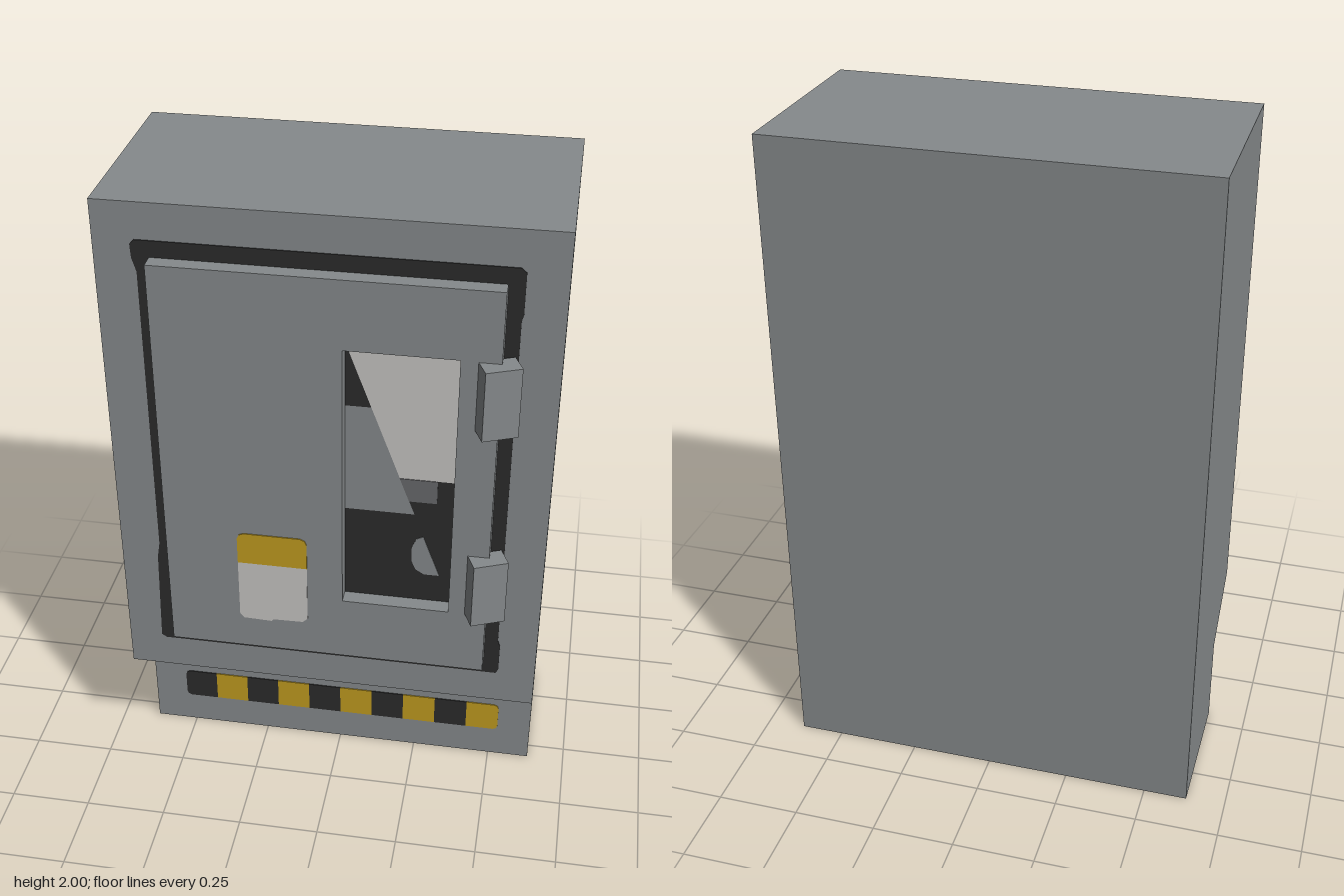
import * as THREE from 'three';

const mat = (name, color) => {
  const m = new THREE.MeshStandardMaterial({ color, flatShading: true });
  m.name = name;
  return m;
};

const polygon = (pts) => new THREE.Shape(pts.map(([x, y]) => new THREE.Vector2(x, y)));
const rect = (x0, y0, x1, y1) => [[x0, y0], [x1, y0], [x1, y1], [x0, y1]];

// Rectangle with chosen corners cut: [bottom left, bottom right, top right, top left]
function cutRect(x0, y0, x1, y1, [bl, br, tr, tl], c = 0.015) {
  const pts = [];
  if (bl) pts.push([x0, y0 + c], [x0 + c * 0.3, y0 + c * 0.3], [x0 + c, y0]); else pts.push([x0, y0]);
  if (br) pts.push([x1 - c, y0], [x1 - c * 0.3, y0 + c * 0.3], [x1, y0 + c]); else pts.push([x1, y0]);
  if (tr) pts.push([x1, y1 - c], [x1 - c * 0.3, y1 - c * 0.3], [x1 - c, y1]); else pts.push([x1, y1]);
  if (tl) pts.push([x0 + c, y1], [x0 + c * 0.3, y1 - c * 0.3], [x0, y1 - c]); else pts.push([x0, y1]);
  return pts;
}

export function createModel() {
  const model = new THREE.Group();
  model.name = 'electricalCabinet';

  const grey = mat('cabinet grey', 0x868a8c);
  const midGrey = mat('shaded grey', 0x68696b);
  const dark = mat('black paint', 0x2c2c2c);
  const yellow = mat('warning yellow', 0xbf9b20);
  const light = mat('pale grey', 0xc6c4c2);

  const FRONT = 0.262, DOOR = 0.312, BASE = 0.053;

  const add = (name, geometry, material, parent = model) => {
    const mesh = new THREE.Mesh(geometry, material);
    mesh.name = name;
    parent.add(mesh);
    return mesh;
  };
  // Flat-sided piece extruded forward from z, with an optional hole
  const plate = (name, pts, z, material, parent = model, depth = 0.003, hole = null) => {
    const shape = polygon(pts);
    if (hole) shape.holes.push(new THREE.Path(hole.map(([x, y]) => new THREE.Vector2(x, y))));
    const geo = new THREE.ExtrudeGeometry(shape, { depth, bevelEnabled: false });
    return add(name, geo, material, parent).position.set(0, 0, z);
  };

  // Body: side profile extruded across the width, toe recessed under a sloped lip
  const profile = polygon([[-0.37, 0], [BASE, 0], [BASE, 0.277], [FRONT, 0.425], [FRONT, 2], [-0.37, 2]]);
  const bodyGeo = new THREE.ExtrudeGeometry(profile, { depth: 1.264, bevelEnabled: false });
  bodyGeo.translate(0, 0, -0.632);
  bodyGeo.rotateY(-Math.PI / 2);
  bodyGeo.scale(1, 1, 1);
  add('body', bodyGeo, grey);

  // Dark seal around the door, with slightly uneven outer edges
  plate('doorSeal', [
    [-0.53, 0.545], [-0.515, 0.535], [0.515, 0.535], [0.522, 0.55], [0.522, 0.64], [0.515, 0.66],
    [0.515, 1.74], [0.52, 1.76], [0.52, 1.88], [0.505, 1.893], [-0.515, 1.893], [-0.528, 1.88],
    [-0.526, 1.84], [-0.514, 1.8], [-0.514, 0.9], [-0.522, 0.85],
  ], FRONT, dark, model, 0.003, rect(-0.47, 0.585, 0.47, 1.84));

  // Door with a window opening
  const win = { x0: 0.05, y0: 0.79, x1: 0.365, y1: 1.637 };
  plate('door', rect(-0.477, 0.58, 0.475, 1.845), FRONT, grey, model, DOOR - FRONT,
    rect(win.x0, win.y0, win.x1, win.y1));

  // Window picture, split along the diagonal
  const view = new THREE.Group();
  view.name = 'windowPanel';
  model.add(view);
  const diag = (y) => [win.x0 + (win.x1 - win.x0) * (win.y1 - y) / (win.y1 - win.y0), y];
  const leftBand = (y0, y1) => [[win.x0, y0], diag(y0), diag(y1), [win.x0, y1]];
  const rightBand = (y0, y1) => [diag(y0), [win.x1, y0], [win.x1, y1], diag(y1)];
  plate('windowLeftTop', leftBand(1.44, win.y1 - 0.001), FRONT, dark, view);
  plate('windowLeftMiddle', leftBand(1.095, 1.44), FRONT, grey, view);
  plate('windowLeftBottom', leftBand(win.y0, 1.095), FRONT, dark, view);
  plate('windowRightTop', rightBand(1.215, win.y1), FRONT, light, view);
  plate('windowRightBottom', rightBand(win.y0 + 0.001, 1.215), FRONT, dark, view);
  plate('windowBracket', [diag(1.14), [0.315, 1.14], [0.315, 1.215], diag(1.215)], FRONT + 0.002, midGrey, view);
  plate('windowKnob', [
    diag(0.885), diag(1.02), [0.26, 1.01], [0.247, 0.98], [0.247, 0.93], [0.26, 0.9], [0.285, 0.885],
  ].reverse(), FRONT + 0.002, grey, view);

  // Warning label on the door
  plate('labelHeader', cutRect(-0.262, 0.897, -0.055, 1.003, [0, 0, 1, 1], 0.02), DOOR, yellow);
  plate('labelBody', [
    [-0.262, 0.897], [-0.262, 0.705], [-0.25, 0.69], [-0.165, 0.687], [-0.16, 0.694],
    [-0.07, 0.696], [-0.055, 0.71], [-0.055, 0.897],
  ], DOOR, light);

  // Angled hinges
  for (const y of [0.896, 1.53]) {
    const hinge = add('hinge', new THREE.BoxGeometry(0.103, 0.211, 0.065), grey);
    hinge.position.set(0.471, y, 0.317);
    hinge.rotation.y = 0.4;
  }

  // Hazard stripes along the base
  const stripes = new THREE.Group();
  stripes.name = 'hazardStripes';
  model.add(stripes);
  const w = 0.1052;
  for (let i = 0; i < 10; i++) {
    const x = (i - 5) * w, first = i === 0, last = i === 9;
    plate(i % 2 ? 'yellowStripe' : 'blackStripe',
      cutRect(x, 0.108, x + w, 0.213, [first, last, last, first]), BASE, i % 2 ? yellow : dark, stripes);
  }

  return model;
}
